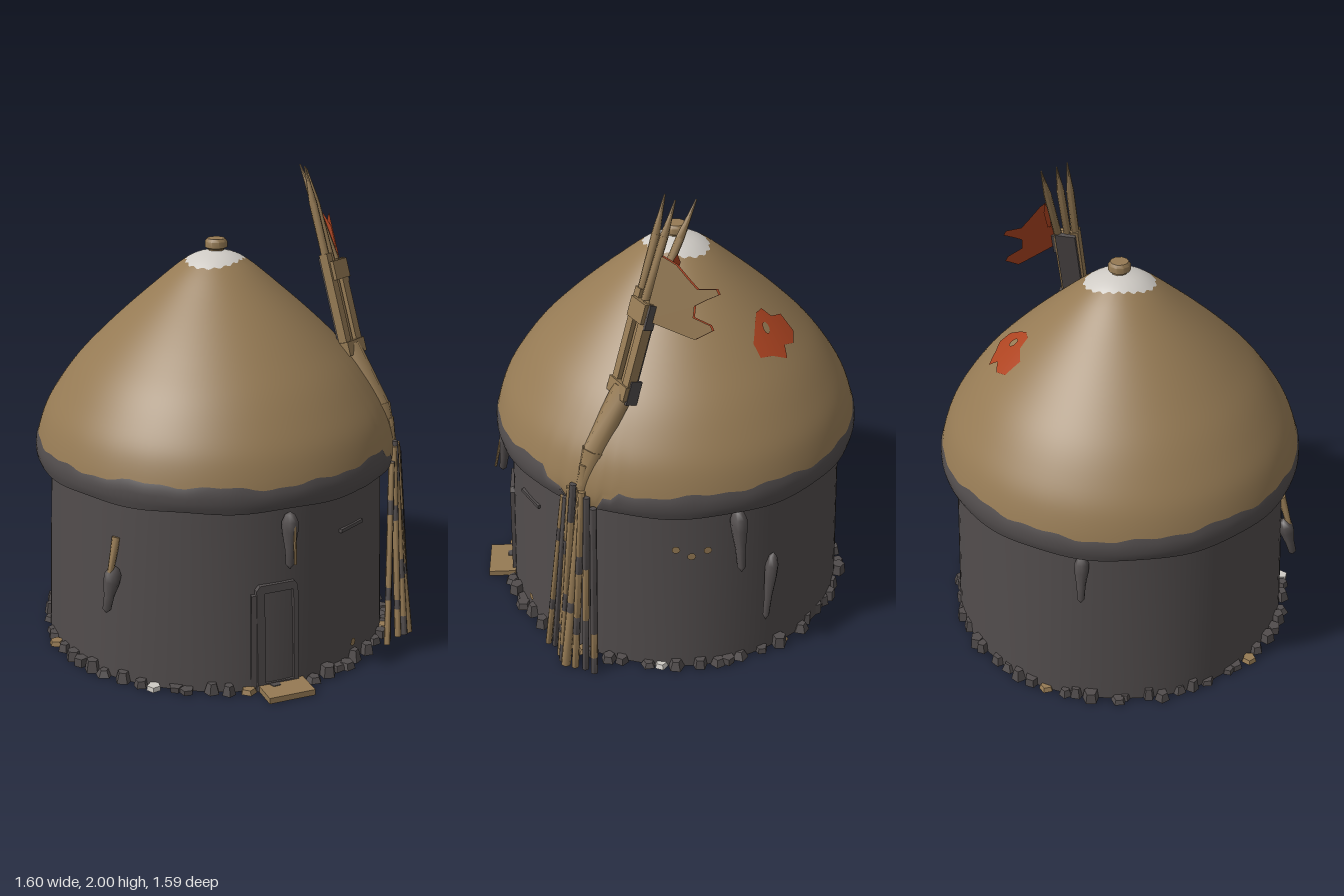
import * as THREE from 'three';
import { toCreasedNormals } from 'three/addons/utils/BufferGeometryUtils.js';

const material = (name, color, extra = {}) => {
  const m = new THREE.MeshStandardMaterial({ color, ...extra });
  m.name = name;
  return m;
};
const V = (x, y, z) => new THREE.Vector3(x, y, z);
const UP = V(0, 1, 0);

// Smooth dome outline as radius and height
const outline = new THREE.SplineCurve([
  [0.765, 0.785], [0.775, 0.83], [0.765, 0.9], [0.73, 1.0], [0.67, 1.1], [0.595, 1.2], [0.5, 1.3],
  [0.395, 1.4], [0.27, 1.51], [0.15, 1.61], [0.08, 1.65], [0.005, 1.668],
].map(([r, y]) => new THREE.Vector2(r, y))).getPoints(120);

function domeRadius(y) {
  const i = Math.max(1, outline.findIndex((p) => p.y >= y));
  const a = outline[i - 1], b = outline[i];
  return THREE.MathUtils.lerp(a.x, b.x, THREE.MathUtils.clamp((y - a.y) / (b.y - a.y), 0, 1));
}

// Closed loops of nu points stacked nv + 1 times
function loops(fn, nu, nv) {
  const pos = [], index = [];
  for (let j = 0; j <= nv; j++) for (let i = 0; i < nu; i++) pos.push(...fn(i / nu, j / nv));
  for (let j = 0; j < nv; j++) for (let i = 0; i < nu; i++) {
    const a = j * nu + i, b = j * nu + (i + 1) % nu;
    index.push(a, b, b + nu, a, b + nu, a + nu);
  }
  const g = new THREE.BufferGeometry();
  g.setAttribute('position', new THREE.Float32BufferAttribute(pos, 3));
  g.setIndex(index);
  g.computeVertexNormals();
  return g;
}
const around = (u, r, y) => [r * Math.sin(u * 2 * Math.PI), y, r * Math.cos(u * 2 * Math.PI)];

export function createModel() {
  const model = new THREE.Group();
  model.name = 'hut';
  const tan = material('tan hide', 0x957a54);
  const dark = material('dark clay', 0x514c4c);
  const red = material('red paint', 0xae4421, { side: THREE.DoubleSide });
  const pale = material('pale cap', 0xcfcbc5);

  const add = (name, geo, mat, parent = model) => {
    const m = new THREE.Mesh(geo, mat);
    m.name = name;
    parent.add(m);
    return m;
  };
  let seed = 7;
  const rnd = () => (seed = (seed * 16807) % 2147483647) / 2147483647;

  // Stretch a unit-height geometry from a to b
  const along = (name, geo, a, b, mat, parent) => {
    const m = add(name, geo, mat, parent), d = b.clone().sub(a);
    m.position.copy(a).add(b).multiplyScalar(0.5);
    m.scale.y = d.length();
    m.quaternion.setFromUnitVectors(UP, d.normalize());
    return m;
  };
  const bar = (name, a, b, r0, r1, mat, parent) =>
    along(name, toCreasedNormals(new THREE.CylinderGeometry(r1, r0, 1, 7), 0.95), a, b, mat, parent);

  // Round wall and floor
  const body = new THREE.Group();
  body.name = 'body';
  body.position.set(0.003, 0, -0.015);
  model.add(body);
  add('wall', loops((u, v) => around(u, 0.742 - 0.03 * v + 0.004 * Math.sin(u * 44) * (1 - v), v * 0.82), 96, 8), dark, body);
  const floor = add('floor', new THREE.CircleGeometry(0.745, 96), dark, body);
  floor.rotation.x = Math.PI / 2;

  // Dome with a ragged rim; the hide runs down through a gap at the poles
  const rimTop = (u) => {
    const gap = Math.abs(u * 2 * Math.PI - 0.475);
    if (gap < 0.11) return 0.787;
    const t = u * 2 * Math.PI;
    return 0.888 + 0.007 * Math.sin(t * 5 + 1) + 0.006 * Math.sin(t * 13) + 0.004 * Math.sin(t * 31) - (gap < 0.22 ? 0.04 : 0);
  };
  const capEdge = (u) => 1.622 + 0.01 * Math.sin(u * 2 * Math.PI * 2 + 1) + 0.003 * Math.sin(u * 120);
  add('dome', loops((u, v) => {
    const y = THREE.MathUtils.lerp(rimTop(u), capEdge(u), v);
    return around(u, domeRadius(y), y);
  }, 144, 36), tan, body);
  add('pale cap', loops((u, v) => {
    const y = THREE.MathUtils.lerp(capEdge(u), 1.668, v);
    return around(u, domeRadius(y), y);
  }, 144, 6), pale, body);
  add('rim', toCreasedNormals(loops((u, v) => {
    const s = v * 6;
    if (s < 1) return around(u, 0.69, 0.805);
    const y = THREE.MathUtils.lerp(0.785, rimTop(u), (s - 1) / 5);
    return around(u, domeRadius(y) + (s > 5.5 ? 0 : 0.004), y + (s < 1.5 ? 0.004 * Math.sin(u * 70) : 0));
  }, 144, 6), 0.9), dark, body);

  // Knob on the crown
  const knob = add('knob', toCreasedNormals(new THREE.LatheGeometry([[0.034, 1.64], [0.034, 1.668], [0.047, 1.675],
    [0.047, 1.7], [0.038, 1.712], [0, 1.712]].map((p) => new THREE.Vector2(...p)), 10), 0.7), tan, body);
  knob.position.x = 0.002;

  // Red painted mark with a bare spot, laid on the dome
  const mark = [[-0.085, 1.34], [-0.14, 1.39], [-0.17, 1.41], [-0.21, 1.41], [-0.245, 1.375], [-0.31, 1.355],
    [-0.335, 1.295], [-0.295, 1.275], [-0.24, 1.29], [-0.22, 1.255], [-0.15, 1.285], [-0.09, 1.295]];
  const painted = add('painted mark', loops((u, v) => {
    const f = u * 12, i = Math.floor(f + 1e-6), p = mark[i % 12], q = mark[(i + 1) % 12];
    const zo = THREE.MathUtils.lerp(p[0], q[0], f - i), yo = THREE.MathUtils.lerp(p[1], q[1], f - i);
    const a = Math.atan2(yo - 1.36, zo + 0.185);
    const z = THREE.MathUtils.lerp(-0.185 + 0.016 * Math.cos(a), zo, v);
    const y = THREE.MathUtils.lerp(1.36 + 0.016 * Math.sin(a), yo, v);
    return [Math.sqrt(domeRadius(y) ** 2 - (z + 0.015) ** 2) + 0.009, y, z];
  }, 48, 6), red);

  // Leaning pole bundle: foot x, foot z, top x, top y, radius, starting colour, colour breaks
  const bundle = new THREE.Group();
  bundle.name = 'poleBundle';
  model.add(bundle);
  [
    [0.205, 0.77, 0.285, 0.8, 0.014, tan, [0.25, 0.32, 0.72, 0.8]],
    [0.235, 0.755, 0.295, 0.8, 0.013, dark, []],
    [0.3, 0.765, 0.32, 0.86, 0.015, tan, [0.15, 0.2, 0.62, 0.7]],
    [0.335, 0.775, 0.335, 0.88, 0.016, dark, [0.1, 0.3, 0.4, 0.8]],
    [0.365, 0.775, 0.355, 0.97, 0.021, tan, [0.28, 0.33]],
    [0.4, 0.75, 0.375, 0.86, 0.016, tan, [0.2, 0.3, 0.55, 0.65]],
    [0.435, 0.72, 0.395, 0.84, 0.015, dark, [0.3, 0.6]],
    [0.475, 0.7, 0.425, 0.8, 0.016, dark, [0.1, 0.25]],
  ].forEach(([x0, z0, x1, y1, r, first, breaks]) => {
    const a = V(x0, 0.003, z0), b = V(x1, y1, y1 > 0.9 ? 0.645 : 0.69 - (x1 - 0.33) * 0.4);
    const stops = [0, ...breaks, 1];
    for (let i = 0; i + 1 < stops.length; i++) {
      const mat = i % 2 ? (first === tan ? dark : tan) : first;
      bar('leaning pole', a.clone().lerp(b, stops[i]), a.clone().lerp(b, stops[i + 1]), r, r * 0.95, mat, bundle);
    }
  });
  // Hide covering the poles where they cross the dome
  bar('pole cover', V(0.35, 0.86, 0.655), V(0.35, 1.02, 0.595), 0.03, 0.05, tan, bundle);
  bar('pole cover', V(0.35, 1.0, 0.6), V(0.34, 1.25, 0.44), 0.05, 0.052, tan, bundle);

  // Upper mast: frame, cross ties and spikes
  const mast = new THREE.Group();
  mast.name = 'mast';
  model.add(mast);
  const mastZ = (y) => 0.47 - 0.31 * (y - 1.2);
  const box = (name, x, y, w, h, d, dz, mat) => {
    const m = add(name, new THREE.BoxGeometry(w, h, d), mat, mast);
    m.position.set(x, y, mastZ(y) + dz);
    m.rotation.x = -0.3;
  };
  box('post', 0.302, 1.44, 0.036, 0.42, 0.04, 0, tan);
  box('post', 0.378, 1.42, 0.04, 0.4, 0.04, 0, tan);
  box('middle post', 0.34, 1.4, 0.018, 0.3, 0.025, -0.004, tan);
  box('backing', 0.34, 1.42, 0.09, 0.42, 0.02, -0.026, dark);
  box('lower tie', 0.34, 1.25, 0.124, 0.06, 0.05, 0.004, tan);
  box('upper tie', 0.345, 1.57, 0.1, 0.08, 0.06, 0.006, tan);
  box('side tie', 0.399, 1.25, 0.012, 0.1, 0.05, -0.015, dark);
  box('side tie', 0.402, 1.56, 0.012, 0.1, 0.04, 0, dark);
  [[0.302, 0.295, 0.225, 2.0], [0.337, 0.335, 0.205, 1.985], [0.378, 0.38, 0.14, 1.99]].forEach(([x, tx, tz, ty]) => {
    const mid = V((x + tx) / 2, 1.85, THREE.MathUtils.lerp(mastZ(1.55), tz, 0.68));
    bar('spike', V(x, 1.55, mastZ(1.55)), mid, 0.018, 0.017, tan, mast);
    bar('spike tip', mid, V(tx, ty, tz), 0.017, 0.003, tan, mast);
  });

  // Torn flag, hide on the front and red behind
  const flagShape = new THREE.Shape([[0.385, 1.8], [0.43, 1.77], [0.47, 1.72], [0.5, 1.685], [0.55, 1.69], [0.56, 1.67],
    [0.53, 1.645], [0.505, 1.62], [0.51, 1.575], [0.56, 1.55], [0.57, 1.53], [0.53, 1.49], [0.48, 1.51], [0.385, 1.55]]
    .map((p) => new THREE.Vector2(...p)));
  [['flag front', tan, 0], ['flag back', red, -0.008]].forEach(([name, mat, dz]) => {
    const g = new THREE.ShapeGeometry(flagShape), p = g.attributes.position;
    for (let i = 0; i < p.count; i++) p.setZ(i, mastZ(p.getY(i)) - 1.05 * (p.getX(i) - 0.4) + dz);
    g.computeVertexNormals();
    add(name, g, mat, mast);
  });
  const stripe = new THREE.BufferGeometry().setFromPoints([[1.65, 0.32], [1.67, 0.27], [1.76, 0.225], [1.8, 0.24], [1.74, 0.29]]
    .map(([y, z]) => V(0.404, y, z)));
  stripe.setIndex([0, 1, 2, 0, 2, 4, 4, 2, 3]);
  stripe.computeVertexNormals();
  add('red stripe', stripe, red, mast);

  // Hanging drops on the wall
  const drop = (a, b, r, mat) => along('hanging drop', new THREE.LatheGeometry([[0, -0.5], [0.6, -0.45], [1, -0.32], [0.95, -0.15],
    [0.6, 0.15], [0.5, 0.42], [0, 0.5]].map(([x, y]) => new THREE.Vector2(x * r, y)), 8), a, b, mat);
  drop(V(0.71, 0.78, 0.15), V(0.79, 0.52, 0.18), 0.035, dark);
  drop(V(0.735, 0.5, -0.02), V(0.77, 0.19, 0.035), 0.028, dark);
  drop(V(-0.04, 0.76, -0.73), V(-0.05, 0.56, -0.79), 0.03, dark);
  drop(V(-0.34, 0.76, 0.635), V(-0.37, 0.53, 0.66), 0.034, dark);
  bar('drop thong', V(-0.35, 0.72, 0.665), V(-0.375, 0.56, 0.69), 0.007, 0.006, tan);
  bar('drop thong', V(-0.715, 0.62, 0.05), V(-0.765, 0.44, 0.05), 0.018, 0.012, tan);
  drop(V(-0.73, 0.5, 0.05), V(-0.785, 0.31, 0.05), 0.035, dark);

  // Doorway frame and ledges
  const onWall = (name, geo, mat, x, y, out, parent = model) => {
    const t = Math.asin(x / 0.73), m = add(name, geo, mat, parent);
    m.position.set(x, y, (0.74 - 0.036 * y + out) * Math.cos(t) - 0.015);
    m.rotation.y = t;
    return m;
  };
  const frame = new THREE.Shape([[-0.1, 0], [0.08, 0], [0.08, 0.44], [0.065, 0.46], [-0.085, 0.46], [-0.1, 0.44]].map((p) => new THREE.Vector2(...p)));
  frame.holes.push(new THREE.Path([[-0.065, 0.03], [-0.065, 0.425], [0.06, 0.425], [0.06, 0.03]].map((p) => new THREE.Vector2(...p))));
  onWall('door frame', new THREE.ExtrudeGeometry(frame, { depth: 0.03, bevelEnabled: false }), dark, -0.365, 0, -0.022).rotation.x = -0.03;
  onWall('door pillar', new THREE.BoxGeometry(0.03, 0.42, 0.03), dark, -0.46, 0.21, 0);
  onWall('ledge', new THREE.BoxGeometry(0.15, 0.015, 0.02), dark, -0.01, 0.61, 0);

  // Bare tan spots on the wall
  const spot = new THREE.CircleGeometry(0.018, 7);
  onWall('tan spot', spot, tan, -0.01, 0.09, 0.012);
  [[0.6, 0.38], [0.565, 0.325], [0.59, 0.265]].forEach(([y, z]) => {
    const m = add('tan spot', spot, tan), t = Math.acos((z + 0.015) / 0.73);
    m.position.set(0.729 * Math.sin(t), y, z + 0.002);
    m.rotation.y = t;
  });

  // Stones around the foot
  for (let i = 0; i < 64; i++) {
    const t = (i + rnd() * 0.7) / 64 * Math.PI * 2, h = 0.02 + rnd() * 0.035, r = 0.735 + rnd() * 0.025;
    const mat = i % 13 === 4 ? tan : i % 21 === 9 ? pale : dark;
    const s = add('stone', new THREE.CylinderGeometry(0.018 + rnd() * 0.012, 0.026 + rnd() * 0.012, mat === dark ? h : 0.02, 5), mat);
    s.position.set(r * Math.sin(t), mat === dark ? h / 2 : 0.01, r * Math.cos(t) - 0.01);
    s.rotation.y = rnd() * 6;
    s.geometry = toCreasedNormals(s.geometry, 0.3);
  }
  const slab = add('door slab', new THREE.BoxGeometry(0.2, 0.025, 0.12), tan);
  slab.position.set(-0.4, 0.0125, 0.675);
  slab.rotation.y = -0.52;
  return model;
}
